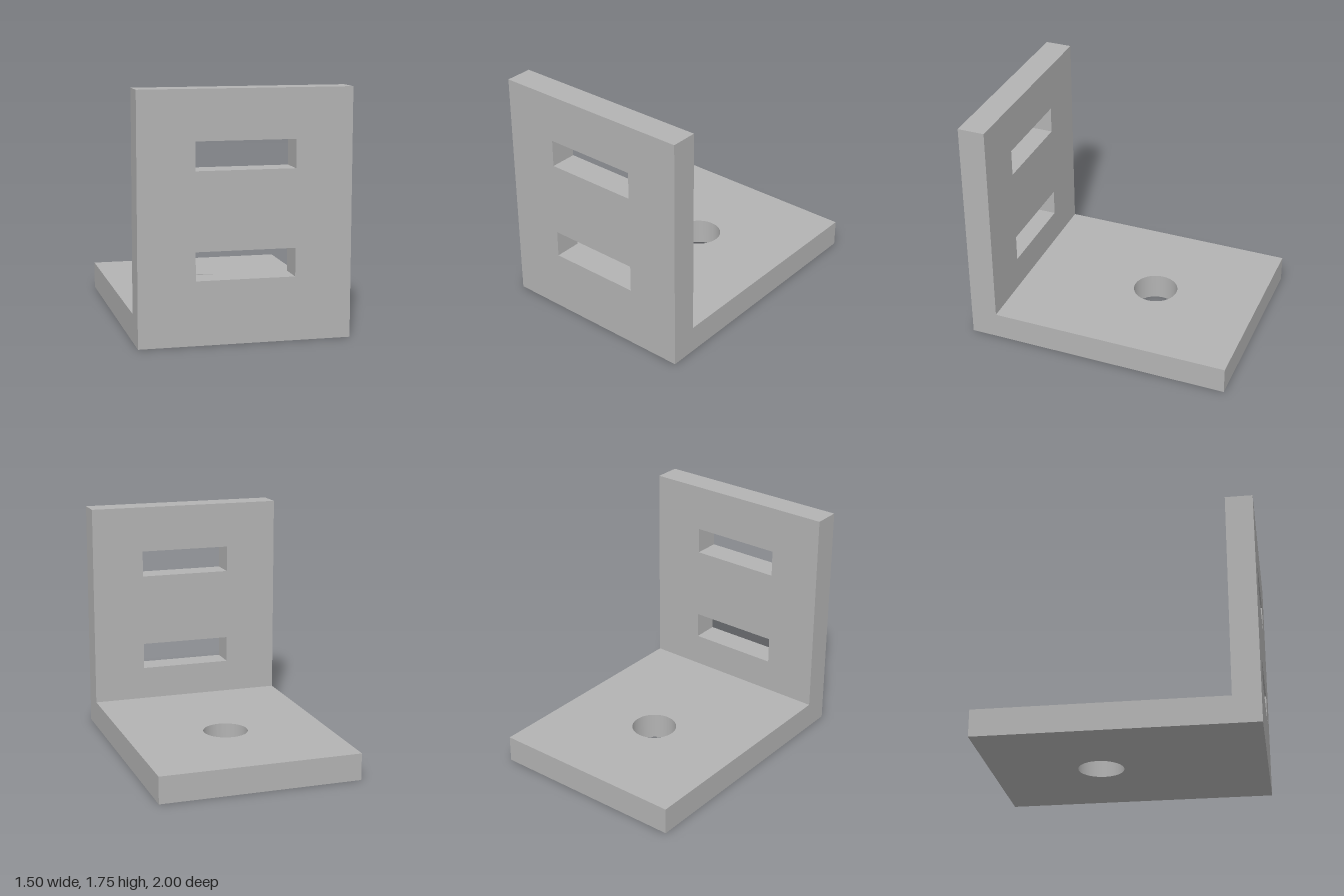
import * as THREE from 'three';
import { toCreasedNormals } from 'three/addons/utils/BufferGeometryUtils.js';

const THICKNESS = 0.2;
const HALF_WIDTH = 0.75;

// Closed rectangle as a list of corners
function rectangle(x0, y0, x1, y1) {
  return [[x0, y0], [x1, y0], [x1, y1], [x0, y1]].map(([x, y]) => new THREE.Vector2(x, y));
}

// Flat plate of the common thickness with the given cut-outs
function plate(y0, y1, holes) {
  const shape = new THREE.Shape(rectangle(-HALF_WIDTH, y0, HALF_WIDTH, y1));
  shape.holes.push(...holes);
  const geometry = new THREE.ExtrudeGeometry(shape, {
    depth: THICKNESS, bevelEnabled: false, curveSegments: 64,
  });
  return toCreasedNormals(geometry, Math.PI / 6);
}

export function createModel() {
  const model = new THREE.Group();
  model.name = 'angleBracket';

  const metal = new THREE.MeshStandardMaterial({ color: 0xb3b3b3 });
  metal.name = 'grey metal';

  // Upright plate at the front with two horizontal slots
  const slots = [0.45, 1.2].map((y) => new THREE.Path(rectangle(-0.35, y, 0.35, y + 0.2)));
  const upright = new THREE.Mesh(plate(0, 1.75, slots), metal);
  upright.name = 'uprightPlate';
  upright.position.z = 0.8;
  model.add(upright);

  // Base plate reaching back from the upright, with a round bolt hole
  const boltHole = new THREE.Path().absarc(0, 0.2, 0.167, 0, Math.PI * 2, true);
  const base = new THREE.Mesh(plate(-0.8, 1, [boltHole]), metal);
  base.name = 'basePlate';
  base.rotation.x = -Math.PI / 2;
  model.add(base);

  return model;
}
